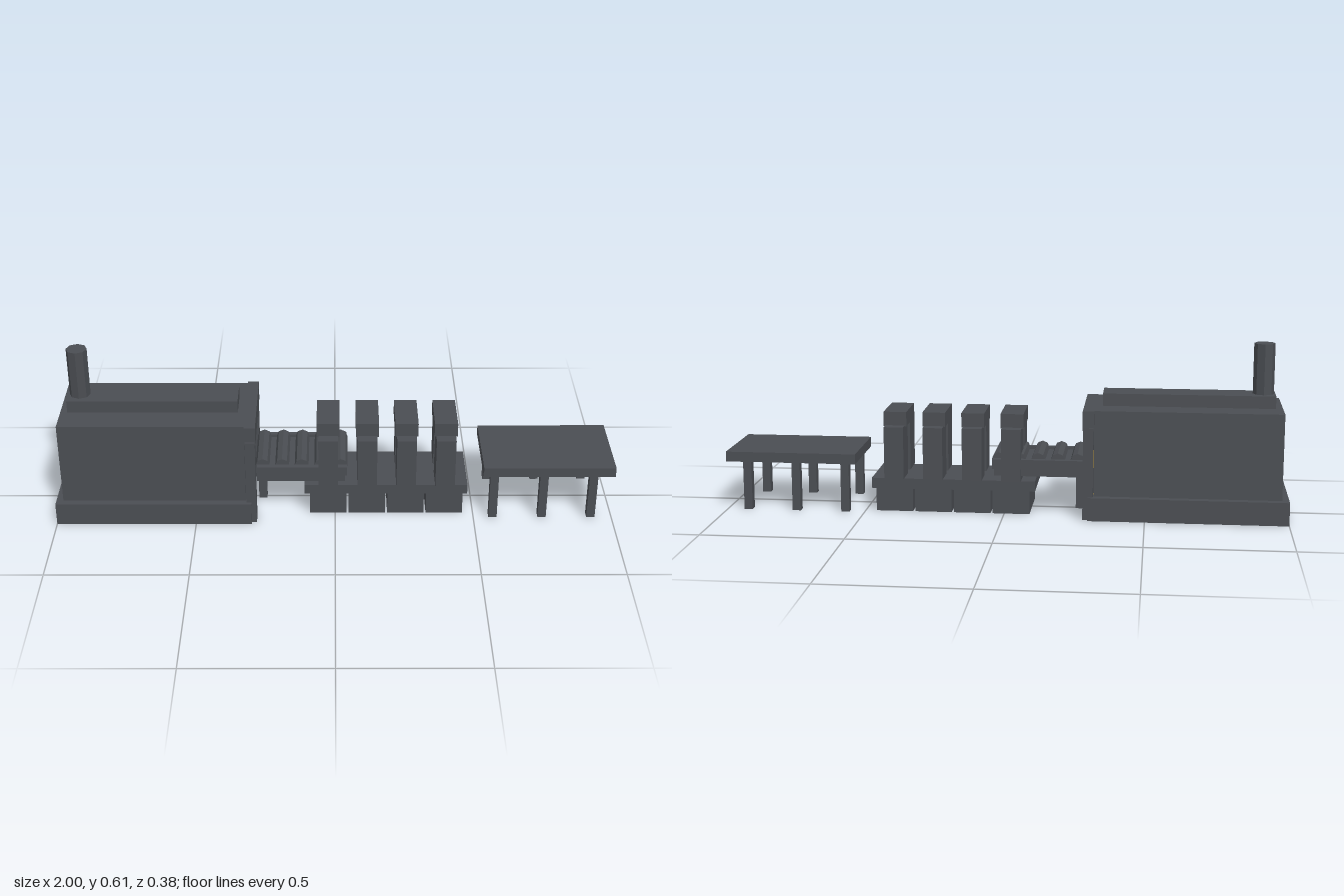
import * as THREE from 'three';

export function createModel() {
  const model = new THREE.Group();
  const iron = new THREE.MeshStandardMaterial({ color: 0x4a4d52 });
  iron.name = 'dark iron';
  iron.flatShading = true;
  const glow = new THREE.MeshStandardMaterial({ color: 0xb8963f });
  glow.name = 'furnace glow';

  function group(name) {
    const g = new THREE.Group();
    g.name = name;
    model.add(g);
    return g;
  }
  // Box given by its limits on each axis
  function box(parent, name, [x0, x1], [y0, y1], [z0, z1], material = iron) {
    const mesh = new THREE.Mesh(new THREE.BoxGeometry(x1 - x0, y1 - y0, z1 - z0), material);
    mesh.position.set((x0 + x1) / 2, (y0 + y1) / 2, (z0 + z1) / 2);
    mesh.name = name;
    parent.add(mesh);
  }
  // The same box on both sides of z = 0
  function pair(parent, name, x, y, [z0, z1]) {
    box(parent, name + 'Left', x, y, [z0, z1]);
    box(parent, name + 'Right', x, y, [-z1, -z0]);
  }

  // Furnace with plinth, roof ridge and chimney
  const furnace = group('furnace');
  box(furnace, 'plinth', [-1, -0.3], [0, 0.083], [-0.188, 0.188]);
  box(furnace, 'furnaceBody', [-0.975, -0.32], [0.083, 0.388], [-0.16, 0.16]);
  box(furnace, 'roofRidge', [-0.95, -0.345], [0.388, 0.432], [-0.058, 0.058]);
  const chimney = new THREE.Mesh(new THREE.CylinderGeometry(0.037, 0.037, 0.18, 8), iron);
  chimney.position.set(-0.908, 0.522, 0);
  chimney.name = 'chimney';
  furnace.add(chimney);

  // Door frame around the glowing mouth
  box(furnace, 'lintel', [-0.32, -0.28], [0.318, 0.388], [-0.17, 0.17]);
  pair(furnace, 'doorPost', [-0.318, -0.282], [0, 0.33], [0.131, 0.175]);
  box(furnace, 'glowingMouth', [-0.32, -0.312], [0.083, 0.318], [-0.131, 0.131], glow);

  // Roller conveyor from the furnace into the mill
  const conveyor = group('conveyor');
  box(conveyor, 'bed', [-0.28, 0.042], [0.165, 0.19], [-0.106, 0.106]);
  pair(conveyor, 'sideRail', [-0.28, 0.042], [0.165, 0.2], [0.105, 0.125]);
  pair(conveyor, 'lowerRail', [-0.28, 0.035], [0.14, 0.165], [0.09, 0.12]);
  for (let i = 0; i < 5; i++) {
    const roller = new THREE.Mesh(new THREE.CylinderGeometry(0.025, 0.025, 0.21, 8), iron);
    roller.rotation.x = Math.PI / 2;
    roller.position.set(-0.26 + i * 0.07, 0.197, 0);
    roller.name = 'roller';
    conveyor.add(roller);
  }
  for (const x of [-0.28, 0.01]) box(conveyor, 'conveyorLeg', [x, x + 0.03], [0, 0.14], [-0.014, 0.014]);

  // Four rolling stands on a shared bed
  const mill = group('rollingMill');
  box(mill, 'millBed', [-0.11, 0.477], [0.083, 0.12], [-0.116, 0.116]);
  for (let i = 0; i < 4; i++) {
    const x = -0.025 + i * 0.14;
    box(mill, 'foundationBlock', [x - 0.066, x + 0.066], [0, 0.083], [-0.115, 0.115]);
    pair(mill, 'standColumn', [x - 0.035, x + 0.035], [0.12, 0.308], [0.026, 0.125]);
    box(mill, 'standCap', [x - 0.041, x + 0.041], [0.305, 0.357], [-0.088, 0.088]);
  }

  // Run-out table
  const table = group('runOutTable');
  box(table, 'tableTop', [0.53, 1], [0.176, 0.212], [-0.152, 0.152]);
  for (const x of [0.57, 0.748, 0.925]) pair(table, 'tableLeg', [x - 0.015, x + 0.015], [0, 0.176], [0.115, 0.145]);

  return model;
}
